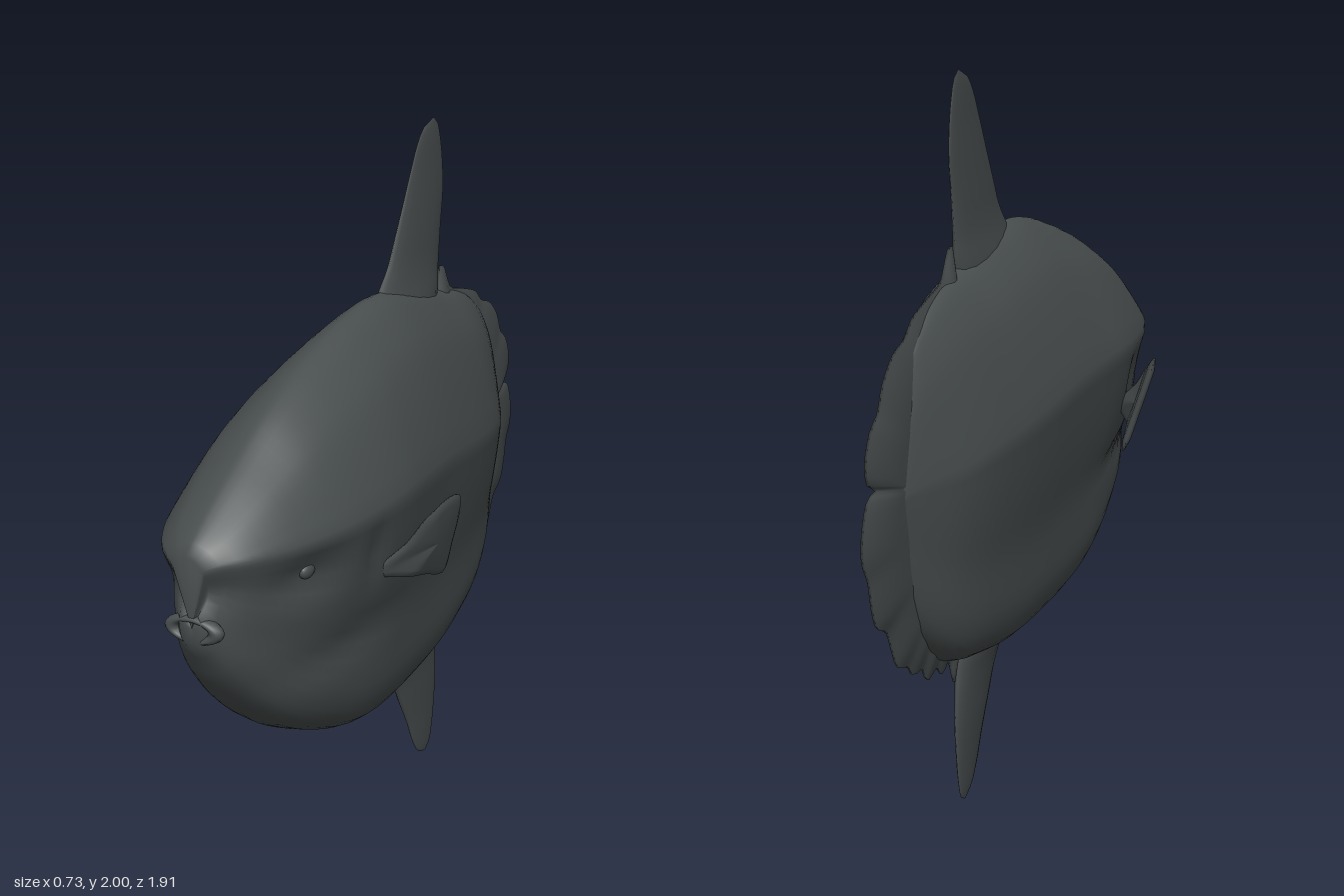
import * as THREE from 'three';

const skin = new THREE.MeshStandardMaterial({ color: 0x484d4d });
skin.name = 'slate grey skin';

// Skin a list of equal-length closed rings, counter-clockwise about the direction of travel
function loft(name, rings) {
  const n = rings[0].length, pos = rings.flat(2), index = [];
  for (let i = 0; i < rings.length - 1; i++) {
    for (let j = 0; j < n; j++) {
      const a = i * n + j, b = i * n + (j + 1) % n;
      index.push(a, b, b + n, a, b + n, a + n);
    }
  }
  const g = new THREE.BufferGeometry();
  g.setAttribute('position', new THREE.Float32BufferAttribute(pos, 3));
  g.setIndex(index);
  g.computeVertexNormals();
  const m = new THREE.Mesh(g, skin);
  m.name = name;
  return m;
}

const bump = (a, b) => Math.exp(-a * a - b * b);

// Smooth lookup in a table whose first column is the parameter
function table(rows) {
  const f = new THREE.CubicInterpolant(rows.map(r => r[0]), rows.flatMap(r => r.slice(1)), rows[0].length - 1);
  return t => Array.from(f.evaluate(t));
}

// Body stations: z, top, bottom, half width, ridge height
const station = table([
  [-0.79, 1.08, 0.90, 0.022, 1.03], [-0.75, 1.23, 0.79, 0.043, 1.04],
  [-0.70, 1.34, 0.68, 0.07, 1.05], [-0.60, 1.43, 0.56, 0.12, 1.06],
  [-0.50, 1.475, 0.49, 0.155, 1.08], [-0.35, 1.51, 0.445, 0.188, 1.10],
  [-0.20, 1.55, 0.415, 0.21, 1.12], [0, 1.58, 0.405, 0.232, 1.15],
  [0.20, 1.555, 0.413, 0.252, 1.165], [0.30, 1.53, 0.43, 0.26, 1.17],
  [0.40, 1.50, 0.46, 0.26, 1.17], [0.50, 1.465, 0.505, 0.252, 1.17],
  [0.60, 1.42, 0.56, 0.237, 1.17], [0.70, 1.36, 0.63, 0.21, 1.17],
  [0.80, 1.30, 0.73, 0.17, 1.17], [0.90, 1.232, 0.86, 0.108, 1.165],
  [0.935, 1.205, 0.925, 0.07, 1.16], [0.958, 1.185, 0.955, 0.042, 1.15]
]);

// Half cross-section: step, height (1 top, 0 ridge, -1 belly), share of half width
const section = table([
  [0, 1, 0], [1, 0.97, 0.13], [2, 0.9, 0.28], [3, 0.75, 0.5], [4, 0.58, 0.66],
  [5, 0.33, 0.83], [6, 0.03, 0.99], [7, -0.06, 0.98], [8, -0.2, 0.92], [9, -0.35, 0.84],
  [10, -0.5, 0.75], [11, -0.63, 0.71], [12, -0.76, 0.68], [13, -0.86, 0.6],
  [14, -0.93, 0.48], [15, -0.98, 0.27], [16, -1, 0]
]);

function bodyRing(z) {
  const [top, bottom, w, ridge] = station(z), half = [];
  for (let i = 0; i <= 32; i++) {
    const [h, f] = section(i / 2);
    const y = h > 0 ? ridge + h * (top - ridge) : ridge + h * (ridge - bottom);
    let x = w * Math.max(0, f);
    // eye hollow, cheek crease and gill dent
    const dent = 0.03 * bump((z - 0.72) / 0.13, (y - 1.07) / 0.05)
      + 0.014 * bump((z - 0.5) / 0.25, (y - 0.81) / 0.04)
      + 0.015 * bump((z - 0.46) / 0.04, (y - 1.05) / 0.06);
    x -= dent * Math.min(1, x / 0.1);
    // hollow between forehead and lips
    const back = z > 0.8 ? 0.03 * bump((y - 1.09) / 0.045, 0) * (z - 0.8) / 0.15 : 0;
    half.push([x, y, z - back]);
  }
  const left = half.slice(1, -1).reverse();
  return [...half.map(([x, y, q]) => [-x, y, q]), ...left];
}

function body() {
  const rings = [], steps = 60;
  for (let i = 0; i <= steps; i++) rings.push(bodyRing(-0.79 + 1.748 * i / steps));
  const close = (ring, y, z) => ring.map(() => [0, y, z]);
  rings.unshift(close(rings[0], 1, -0.8));
  rings.push(close(rings[0], 1.0, 0.95));
  return loft('body', rings);
}

// Upright fin with lens sections: y, front z, back z, half thickness
function uprightFin(name, rows) {
  const at = table(rows), y0 = rows[0][0], y1 = rows[rows.length - 1][0], rings = [];
  for (let i = 0; i <= 28; i++) {
    const y = y0 + (y1 - y0) * i / 28, [front, rear, t] = at(y), ring = [];
    for (let j = 0; j < 16; j++) {
      const a = j / 16 * Math.PI * 2;
      ring.push([Math.sin(a) * t, y, (front + rear) / 2 + Math.cos(a) * (front - rear) / 2]);
    }
    rings.push(ring);
  }
  return loft(name, rings);
}

// Scalloped tail frill, thick inside and thin at the rim
function tailFrill() {
  const outline = [
    [-0.38, 1.50], [-0.47, 1.487], [-0.58, 1.46], [-0.65, 1.435], [-0.69, 1.40], [-0.76, 1.375],
    [-0.82, 1.32], [-0.85, 1.26], [-0.895, 1.225], [-0.925, 1.16], [-0.915, 1.105], [-0.872, 1.08],
    [-0.92, 1.065], [-0.95, 1.0], [-0.955, 0.93], [-0.925, 0.87], [-0.91, 0.80], [-0.885, 0.74],
    [-0.83, 0.705], [-0.80, 0.645], [-0.77, 0.59], [-0.71, 0.565], [-0.68, 0.53], [-0.62, 0.52],
    [-0.59, 0.475], [-0.53, 0.485], [-0.49, 0.45], [-0.44, 0.475], [-0.39, 0.46]
  ].reverse().map(([z, y]) => new THREE.Vector3(0, y, z));
  const pts = new THREE.CatmullRomCurve3(outline, true, 'catmullrom', 0.5).getSpacedPoints(120).slice(0, 120);
  const ring = (x, k) => pts.map(p => [x, 0.98 + (p.y - 0.98) * k, -0.45 + (p.z + 0.45) * k]);
  return loft('tailFrill', [
    ring(-0.03, 0), ring(-0.03, 0.72), ring(-0.018, 0.87), ring(-0.004, 1),
    ring(0.004, 1), ring(0.018, 0.87), ring(0.03, 0.72), ring(0.03, 0)
  ]);
}

// Side fin: flat paddle bent outwards and up from its root
function sideFin(side) {
  const outline = [[0.43, 0.97], [0.37, 1.05], [0.34, 1.12], [0.30, 1.152], [0.25, 1.155],
    [0.22, 1.10], [0.2, 1.0], [0.19, 0.90], [0.28, 0.925], [0.38, 0.95]];
  const pts = new THREE.CatmullRomCurve3(outline.map(([z, y]) => new THREE.Vector3(0, y, z)), true)
    .getSpacedPoints(48).slice(0, 48).reverse();
  const ring = (off, k) => pts.map(p => {
    const y = 1.02 + (p.y - 1.02) * k, z = 0.28 + (p.z - 0.28) * k;
    const x = 0.26 + 0.25 * (0.38 - z) + 0.33 * (y - 0.95) - Math.max(0, z - 0.33) * 0.5;
    return [side * (x + off), y, z];
  });
  const rings = [ring(-0.011, 0), ring(-0.011, 0.8), ring(-0.003, 1), ring(0.003, 1), ring(0.011, 0.8), ring(0.011, 0)];
  // mirroring reverses the ring direction
  if (side < 0) rings.forEach(r => r.reverse());
  return loft(side > 0 ? 'leftSideFin' : 'rightSideFin', side > 0 ? rings : rings.reverse().map(r => r.reverse()));
}

function ball(name, r, p, s) {
  const m = new THREE.Mesh(new THREE.SphereGeometry(r, 20, 14), skin);
  m.name = name;
  m.position.set(...p);
  m.scale.set(...s);
  return m;
}

export function createModel() {
  const g = new THREE.Group();
  g.name = 'sunfish';
  g.add(body(), tailFrill(), sideFin(1), sideFin(-1));
  g.add(uprightFin('dorsalFin', [
    [1.46, 0.06, -0.345, 0.05], [1.52, 0.03, -0.362, 0.042], [1.58, -0.015, -0.37, 0.03],
    [1.63, -0.06, -0.378, 0.024], [1.70, -0.10, -0.388, 0.02], [1.79, -0.15, -0.403, 0.015],
    [1.88, -0.20, -0.398, 0.01], [1.95, -0.245, -0.38, 0.007], [1.985, -0.285, -0.363, 0.004],
    [2.0, -0.335, -0.34, 0.001]
  ]));
  g.add(uprightFin('ventralFin', [
    [0, -0.325, -0.335, 0.001], [0.015, -0.29, -0.358, 0.004], [0.06, -0.25, -0.375, 0.008],
    [0.16, -0.2, -0.39, 0.014], [0.25, -0.15, -0.395, 0.02], [0.34, -0.10, -0.388, 0.026],
    [0.39, -0.055, -0.38, 0.032], [0.44, 0.02, -0.372, 0.042], [0.5, 0.05, -0.35, 0.05]
  ]));
  // lips
  const lips = new THREE.Mesh(new THREE.TorusGeometry(0.055, 0.018, 12, 32), skin);
  lips.name = 'lips';
  lips.position.set(0, 0.995, 0.938);
  lips.scale.set(1.1, 0.5, 1);
  g.add(lips);
  // eyes
  for (const s of [1, -1]) {
    g.add(ball(s > 0 ? 'leftEye' : 'rightEye', 0.028, [s * 0.168, 1.085, 0.7], [0.6, 0.8, 1]));
  }
  return g;
}
